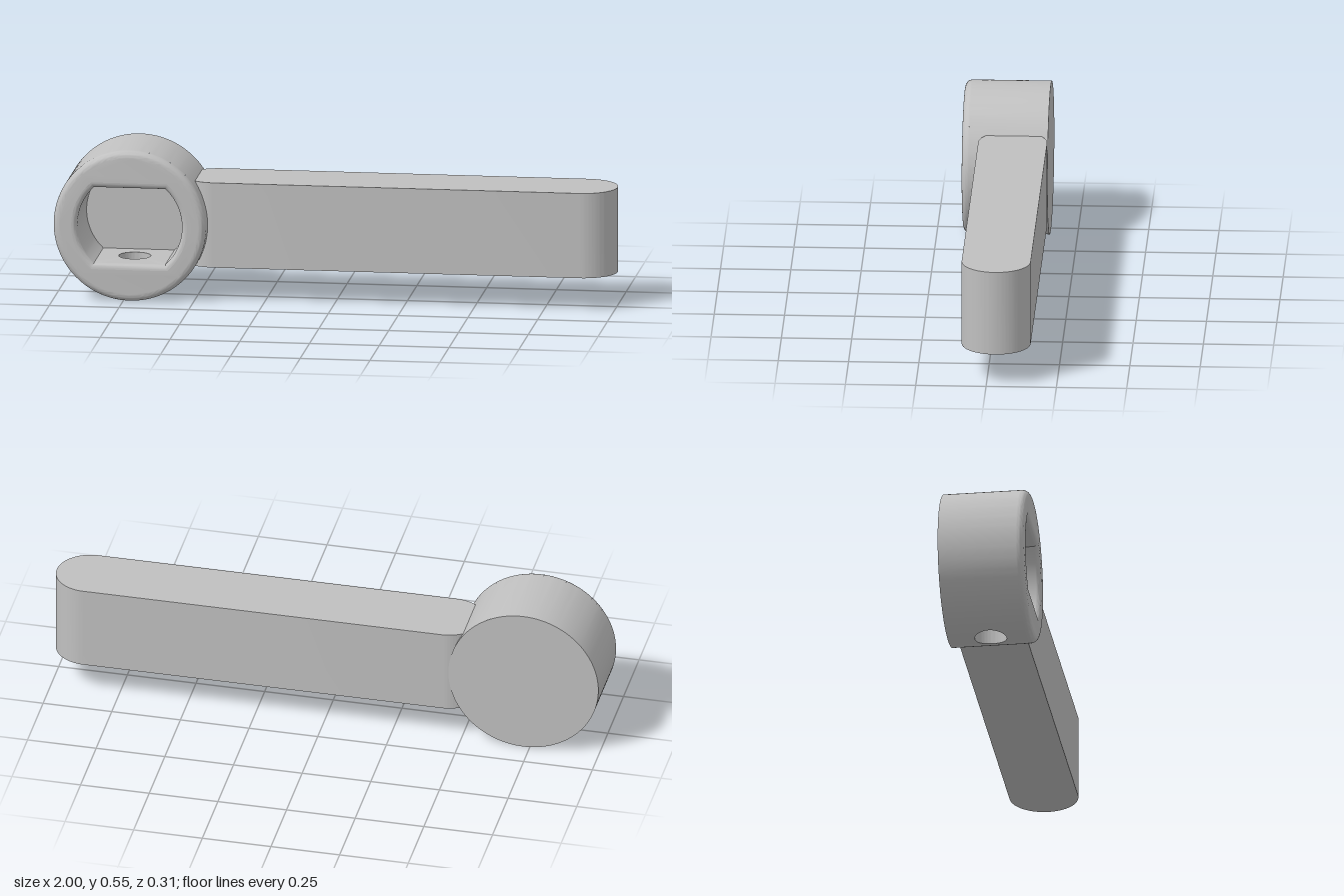
import * as THREE from 'three';
import { mergeGeometries, toCreasedNormals } from 'three/addons/utils/BufferGeometryUtils.js';

const V = (x, y, z) => new THREE.Vector3(x, y, z);
const R = 0.273, BACK = -0.153, FRONT = 0.153, FILLET = 0.025; // knob
const SLOT_R = 0.1875, SLOT_H = 0.1375, FLOOR = -0.11, LIP = 0.02; // pocket
const HOLE_R = 0.057;

// Skin between successive loops of points
function loft(loops) {
  const pos = [];
  for (let i = 0; i < loops.length - 1; i++) {
    for (let j = 0; j < loops[i].length - 1; j++) {
      const a = loops[i][j], b = loops[i][j + 1], c = loops[i + 1][j], d = loops[i + 1][j + 1];
      for (const p of [a, c, b, b, c, d]) pos.push(p.x, p.y, p.z);
    }
  }
  const g = new THREE.BufferGeometry();
  g.setAttribute('position', new THREE.Float32BufferAttribute(pos, 3));
  return g;
}

function arc(r, from, to, n, z) {
  return Array.from({ length: n + 1 }, (_, i) => {
    const t = from + (to - from) * i / n;
    return V(r * Math.cos(t), r * Math.sin(t), z);
  });
}

// Circle with two flats; starts and ends at the corners of the bottom flat
function slot(offset, z) {
  const r = SLOT_R + offset, a = Math.asin((SLOT_H + offset) / r);
  return [...arc(r, -a, a, 24, z), ...arc(r, Math.PI - a, Math.PI + a, 24, z)];
}
const close = (loop) => [...loop, loop[0]];

// Loops growing from the round hole to a rectangle, laid on the height y = f(x)
function holeLoops(halfX, zMin, zMax, f, steps) {
  return Array.from({ length: steps + 1 }, (_, k) => {
    const v = k / steps;
    return Array.from({ length: 65 }, (_, i) => {
      const t = i / 32 * Math.PI, c = Math.cos(t), s = Math.sin(t);
      const m = Math.max(Math.abs(c), Math.abs(s));
      const x = THREE.MathUtils.lerp(HOLE_R * c, halfX * c / m, v);
      const z = THREE.MathUtils.lerp(HOLE_R * s, (s > 0 ? zMax : -zMin) * s / m, v);
      return V(x, f(x), z);
    });
  });
}

function finish(parts, crease) {
  const flat = parts.map((p) => {
    const g = p.index ? p.toNonIndexed() : p;
    g.deleteAttribute('uv');
    g.deleteAttribute('normal');
    return g;
  });
  return toCreasedNormals(mergeGeometries(flat), crease);
}

function knobBody() {
  // Side wall, leaving a gap at the bottom for the pierced patch
  const gap = 0.3, from = -Math.PI / 2 + gap, to = 1.5 * Math.PI - gap;
  const wall = loft([arc(R, from, to, 112, FRONT - FILLET), arc(R, from, to, 112, BACK)]);
  const under = holeLoops(R * Math.sin(gap), BACK, FRONT - FILLET, (x) => -Math.sqrt(R * R - x * x), 6);

  // Rounded front rim
  const rim = [];
  for (let i = 0; i <= 8; i++) {
    const t = i / 8 * Math.PI / 2;
    rim.push(arc(R - FILLET + FILLET * Math.sin(t), 0, 2 * Math.PI, 128, FRONT - FILLET + FILLET * Math.cos(t)));
  }

  // Front face with the pocket opening, and the plain back
  const face = new THREE.Shape().absarc(0, 0, R - FILLET, 0, 2 * Math.PI);
  face.holes.push(new THREE.Path(slot(LIP, 0).map((p) => new THREE.Vector2(p.x, p.y))));
  const front = new THREE.ShapeGeometry(face, 64).translate(0, 0, FRONT);
  const back = new THREE.CircleGeometry(R, 128).rotateY(Math.PI).translate(0, 0, BACK);
  return finish([wall, loft(under), loft(rim), front, back], 0.5);
}

function pocket() {
  // Rounded lip
  const lip = [];
  for (let i = 0; i <= 8; i++) {
    const t = i / 8 * Math.PI / 2;
    lip.push(close(slot(LIP * (1 - Math.cos(t)), FRONT - LIP + LIP * Math.sin(t))));
  }
  // Walls, floor and the pierced bottom flat
  const walls = loft([slot(0, FLOOR), slot(0, FRONT - LIP)]);
  const floor = new THREE.ShapeGeometry(
    new THREE.Shape(slot(0, 0).map((p) => new THREE.Vector2(p.x, p.y)))).translate(0, 0, FLOOR);
  const halfFlat = Math.sqrt(SLOT_R ** 2 - SLOT_H ** 2);
  const flat = holeLoops(halfFlat, FLOOR, FRONT - LIP, () => -SLOT_H, 1);
  return finish([loft(lip), walls, floor, loft(flat.reverse())], 0.5);
}

function drainHole() {
  const top = holeLoops(1, -1, 1, () => -SLOT_H, 1)[0];
  const bottom = holeLoops(1, -1, 1, (x) => -Math.sqrt(R * R - x * x), 1)[0];
  return finish([loft([top, bottom])], 0.5);
}

function armGeometry() {
  // Bar with rounded ends, the inner one cut off inside the knob
  const r = 0.1225, c = 0.0305, left = -0.43, cut = Math.acos(-0.09 / r);
  const s = new THREE.Shape();
  s.absarc(1 - r, c, r, -Math.PI / 2, Math.PI / 2);
  s.absarc(left, c, r, Math.PI / 2, cut);
  s.absarc(left, c, r, 2 * Math.PI - cut, 1.5 * Math.PI);
  const g = new THREE.ExtrudeGeometry(s, { depth: 0.308, bevelEnabled: false, curveSegments: 32 });
  g.rotateX(-Math.PI / 2).translate(0, 0.12, 0);
  return finish([g], 0.5);
}

export function createModel() {
  const grey = new THREE.MeshStandardMaterial({ color: 0xc0c0c0 });
  grey.name = 'light grey';
  const add = (parent, name, geometry) => {
    const mesh = new THREE.Mesh(geometry, grey);
    mesh.name = name;
    parent.add(mesh);
  };

  const model = new THREE.Group();
  model.name = 'leverHandle';
  const knob = new THREE.Group();
  knob.name = 'hub';
  knob.position.set(-1 + R, R, 0);
  add(knob, 'hubBody', knobBody());
  add(knob, 'shaftPocket', pocket());
  add(knob, 'setScrewHole', drainHole());
  model.add(knob);
  add(model, 'arm', armGeometry());
  return model;
}
